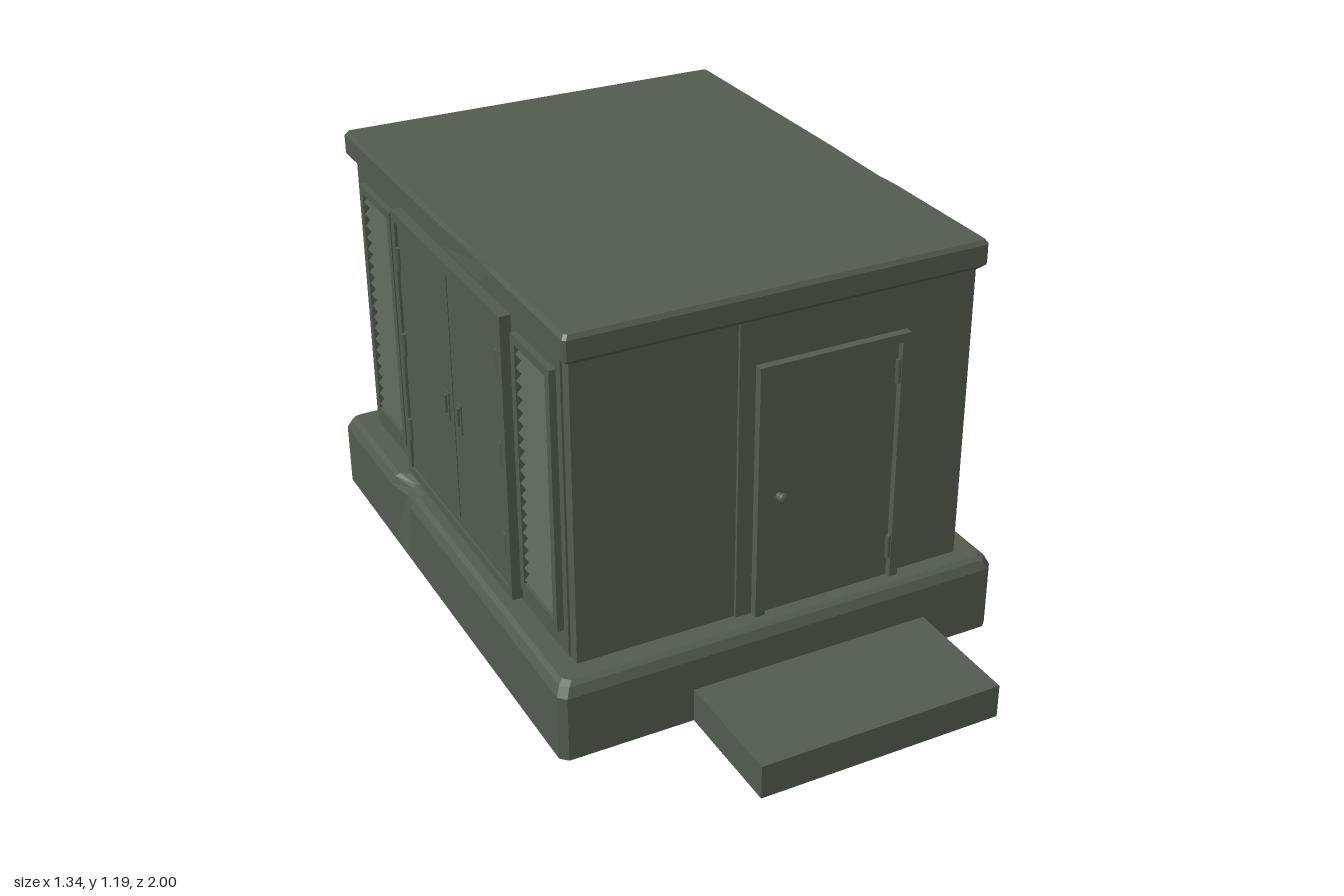
import * as THREE from 'three';

const paint = new THREE.MeshStandardMaterial({ color: 0x535b50 });
paint.name = 'weathered green grey';

function add(parent, name, geometry, x = 0, y = 0, z = 0) {
  const mesh = new THREE.Mesh(geometry, paint);
  mesh.name = name;
  mesh.position.set(x, y, z);
  parent.add(mesh);
  return mesh;
}

// Box given by its extents on each axis
function block(parent, name, [x0, x1], [y0, y1], [z0, z1]) {
  return add(parent, name, new THREE.BoxGeometry(x1 - x0, y1 - y0, z1 - z0),
    (x0 + x1) / 2, (y0 + y1) / 2, (z0 + z1) / 2);
}

// Faceted slab: outline points [x, z, chip], rings [inset, y, wear] from bottom to top
function slab(outline, rings) {
  const hx = Math.max(...outline.map(p => p[0]));
  const hz = Math.max(...outline.map(p => p[1]));
  const at = ([x, z, chip], [inset, y, wear]) => {
    const d = inset + wear * chip;
    return [x * (1 - d / hx), y - wear * chip * 0.6, z * (1 - d / hz)];
  };
  const n = outline.length, pos = [];
  const first = rings[0], last = rings[rings.length - 1];
  for (let i = 0; i < n; i++) {
    const a = outline[i], b = outline[(i + 1) % n];
    for (let r = 0; r + 1 < rings.length; r++) {
      const al = at(a, rings[r]), bl = at(b, rings[r]);
      const au = at(a, rings[r + 1]), bu = at(b, rings[r + 1]);
      pos.push(...al, ...bl, ...bu, ...al, ...bu, ...au);
    }
    pos.push(0, last[1], 0, ...at(a, last), ...at(b, last));
    pos.push(0, first[1], 0, ...at(b, first), ...at(a, first));
  }
  const g = new THREE.BufferGeometry();
  g.setAttribute('position', new THREE.Float32BufferAttribute(pos, 3));
  g.computeVertexNormals();
  return g;
}

// Rectangle with clipped corners and chips along each long side
function outline(hx, hz, c, chips) {
  const right = chips.map(([z, d]) => [hx, z, d]);
  const left = chips.map(([z, d]) => [-hx, z, d]).reverse();
  return [[hx - c, hz, 0], [hx, hz - c, 0], ...right, [hx, -hz + c, 0], [hx - c, -hz, 0],
    [-hx + c, -hz, 0], [-hx, -hz + c, 0], ...left, [-hx, hz - c, 0], [-hx + c, hz, 0]];
}

// Border of four strips on a side wall
function sideFrame(parent, name, xs, [y0, y1], [z0, z1], w) {
  block(parent, name, xs, [y0, y1], [z0, z0 + w]);
  block(parent, name, xs, [y0, y1], [z1 - w, z1]);
  block(parent, name, xs, [y0, y0 + w], [z0 + w, z1 - w]);
  block(parent, name, xs, [y1 - w, y1], [z0 + w, z1 - w]);
}

// Louvred vent with tilted slats
function louvre(parent, s, zs) {
  const xs = s > 0 ? [0.58, 0.608] : [-0.608, -0.58];
  const y0 = 0.3, y1 = 1.06, w = 0.025, count = 19;
  sideFrame(parent, 'ventFrame', xs, [y0, y1], zs, w);
  const pitch = (y1 - y0 - 2 * w) / count;
  for (let i = 0; i < count; i++) {
    const slat = add(parent, 'ventSlat',
      new THREE.BoxGeometry(0.026, 0.007, zs[1] - zs[0] - 2 * w),
      s * 0.594, y0 + w + (i + 0.5) * pitch, (zs[0] + zs[1]) / 2);
    slat.rotation.z = -s * 0.8;
  }
}

// Side wall equipment; s is +1 or -1 for the two sides
function side(s) {
  const g = new THREE.Group();
  g.name = s > 0 ? 'leftSide' : 'rightSide';
  const X = (a, b) => (s > 0 ? [a, b] : [-b, -a]);
  block(g, 'sidePanel', X(0.57, 0.589), [0.23, 1.11], [-0.89, 0.52]);
  louvre(g, s, [0.26, 0.495]);
  louvre(g, s, [-0.85, -0.6]);

  // Double doors in a raised frame
  sideFrame(g, 'doubleDoorFrame', X(0.58, 0.62), [0.24, 1.09], [-0.555, 0.225], 0.028);
  block(g, 'doubleDoorSill', X(0.58, 0.613), [0.265, 0.29], [-0.527, 0.197]);
  for (const [z0, z1] of [[-0.524, -0.158], [-0.152, 0.194]]) {
    block(g, 'doorLeaf', X(0.58, 0.613), [0.292, 1.059], [z0, z1]);
  }
  for (const z of [-0.11, -0.2]) {
    block(g, 'handlePlate', X(0.61, 0.617), [0.59, 0.68], [z - 0.016, z + 0.016]);
    block(g, 'handleGrip', X(0.615, 0.624), [0.615, 0.67], [z - 0.007, z + 0.007]);
  }
  for (const z of [-0.522, 0.192]) {
    for (const y of [0.4, 0.68, 0.95]) {
      add(g, 'hinge', new THREE.CylinderGeometry(0.009, 0.009, 0.07, 8), s * 0.616, y, z);
    }
  }
  return g;
}

export function createModel() {
  const model = new THREE.Group();
  model.name = 'utilityShed';

  // Concrete plinth with worn upper edge, and entry step
  const chips = [[0.1, 0], [-0.24, 0], [-0.28, 0.035], [-0.35, 0.03], [-0.4, 0], [-0.6, 0]];
  add(model, 'plinth', slab(outline(0.67, 0.82, 0.02, chips),
    [[0, 0, 0], [0, 0.195, 0.9], [0.012, 0.222, 1], [0.025, 0.232, 0.9]]), 0, 0, -0.18);
  block(model, 'entryStep', [-0.285, 0.44], [0, 0.1], [0.6, 1]);

  // Walls, each end made of two panels with a small step at the seam
  block(model, 'walls', [-0.583, 0.583], [0.2, 1.13], [-0.92, 0.557]);
  block(model, 'frontPanel', [-0.12, 0.583], [0.2, 1.12], [0.55, 0.566]);
  block(model, 'backPanel', [-0.583, 0.085], [0.2, 1.12], [-0.93, -0.91]);

  // Roof slab with softened edges
  add(model, 'roof', slab(outline(0.608, 0.772, 0.008, [[0.34, 0], [0.26, 0.006], [0, 0]]),
    [[0.014, 1.108, 0], [0, 1.122, 0], [0, 1.178, 1], [0.008, 1.19, 0.5]]), 0, 0, -0.186);

  // Front door with frame, hinges and knob
  const door = new THREE.Group();
  door.name = 'frontDoor';
  block(door, 'doorFrame', [-0.073, -0.043], [0.23, 0.98], [0.55, 0.59]);
  block(door, 'doorFrame', [0.352, 0.377], [0.23, 0.98], [0.55, 0.59]);
  block(door, 'doorFrame', [-0.043, 0.352], [0.955, 0.98], [0.55, 0.59]);
  block(door, 'doorLeaf', [-0.038, 0.347], [0.235, 0.95], [0.55, 0.578]);
  for (const y of [0.33, 0.87]) {
    add(door, 'hinge', new THREE.CylinderGeometry(0.008, 0.008, 0.07, 8), 0.346, y, 0.582);
  }
  add(door, 'knobStem', new THREE.CylinderGeometry(0.009, 0.012, 0.02, 10), -0.003, 0.585, 0.584)
    .rotation.x = Math.PI / 2;
  add(door, 'knob', new THREE.SphereGeometry(0.016, 12, 8), 0, 0.585, 0.594).scale.z = 0.6;
  model.add(door);

  model.add(side(1), side(-1));
  return model;
}
